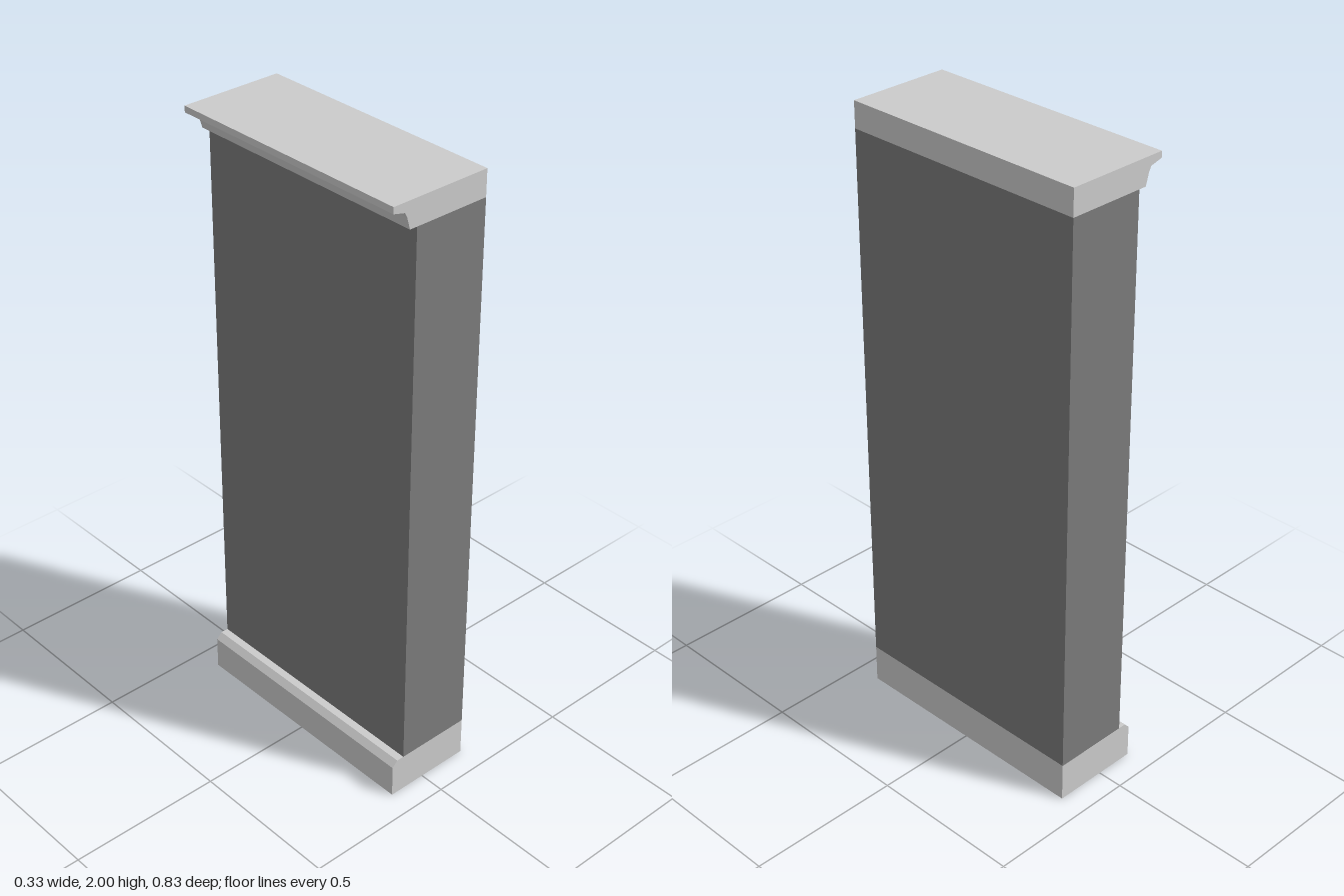
import * as THREE from 'three';

const DEPTH = 0.833; // along z
const BACK = 0.167;  // flush plane shared by all parts on +x

// Extrude an x-y profile along z, centred on z = 0
function moulding(name, points, color) {
  const shape = new THREE.Shape(points.map(([x, y]) => new THREE.Vector2(x, y)));
  const geometry = new THREE.ExtrudeGeometry(shape, { depth: DEPTH, bevelEnabled: false });
  geometry.translate(0, 0, -DEPTH / 2);
  const mesh = new THREE.Mesh(geometry, new THREE.MeshStandardMaterial({ color, flatShading: true }));
  mesh.name = name;
  return mesh;
}

export function createModel() {
  const group = new THREE.Group();
  group.name = 'wallSection';

  // Plinth with a chamfered upper edge
  group.add(moulding('plinth', [
    [-0.127, 0], [BACK, 0], [BACK, 0.127], [-0.108, 0.127], [-0.127, 0.108],
  ], 0xcccccc));

  // Plain dark wall panel
  group.add(moulding('wall', [
    [-0.083, 0.127], [BACK, 0.127], [BACK, 1.917], [-0.083, 1.917],
  ], 0x7b7b7b));

  // Cornice stepping out to a thin projecting lip
  group.add(moulding('cornice', [
    [-0.108, 1.917], [BACK, 1.917], [BACK, 2], [-0.167, 2],
    [-0.167, 1.98], [-0.127, 1.97], [-0.119, 1.955],
  ], 0xcccccc));

  return group;
}
